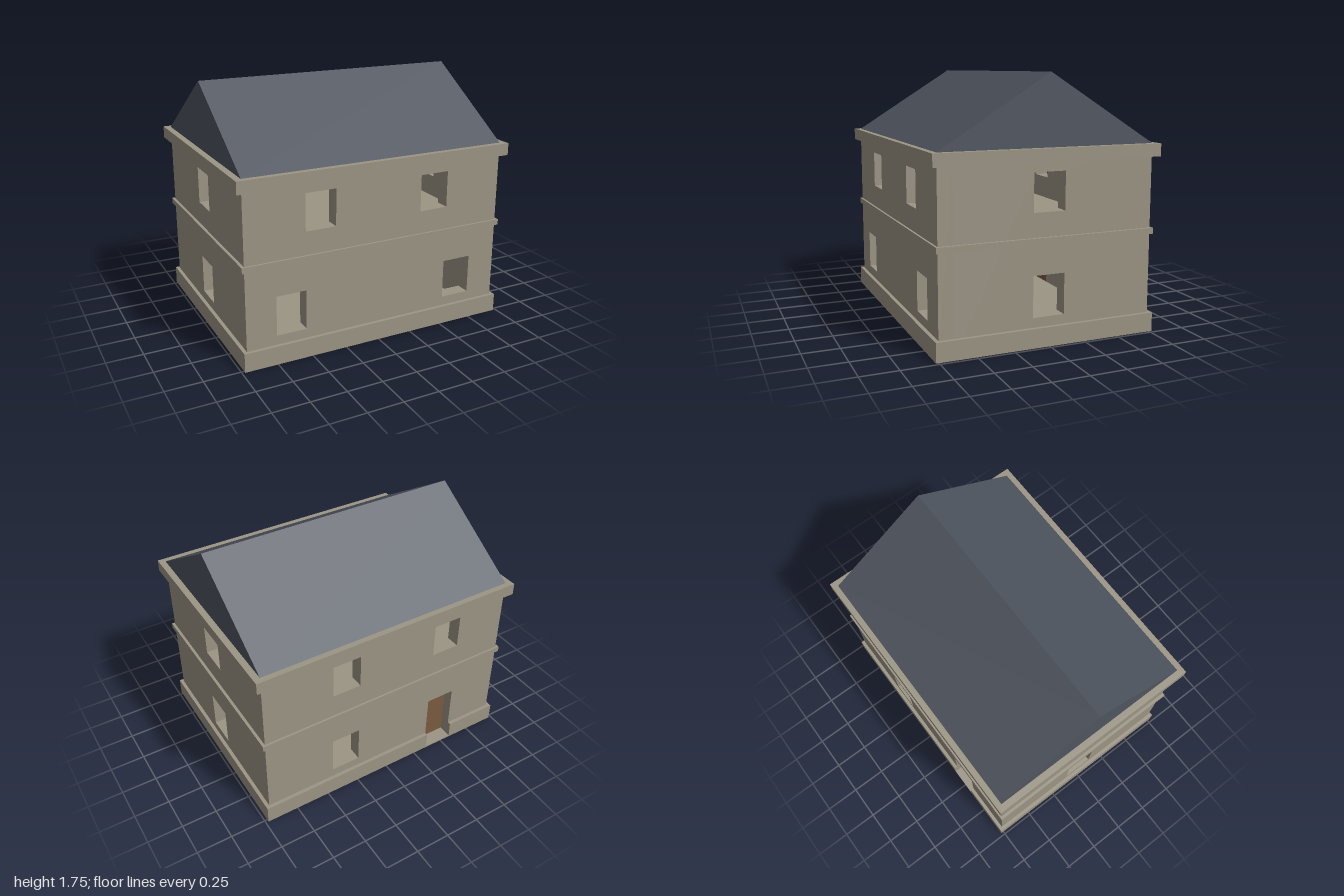
import * as THREE from 'three';

const WX = 0.955, WZ = 0.745, T = 0.1; // outer half sizes of the walls, wall thickness
const BASE = 0.01, EAVES = 1.28;
const DOOR = { x0: -0.58, x1: -0.365, top: 0.45 };

const paint = (color) => new THREE.MeshStandardMaterial({ color, flatShading: true });
const stone = paint(0x9c9585), slate = paint(0x4f555f), wood = paint(0x7a5a40);

function polygon(points) {
  return new THREE.Shape(points.map(([x, y]) => new THREE.Vector2(x, y)));
}

function rect(x0, y0, x1, y1) {
  return [[x0, y0], [x1, y0], [x1, y1], [x0, y1]];
}

function extrude(shape, depth) {
  return new THREE.ExtrudeGeometry(shape, { depth, bevelEnabled: false });
}

function box(name, material, x0, x1, y0, y1, z0, z1) {
  const mesh = new THREE.Mesh(new THREE.BoxGeometry(x1 - x0, y1 - y0, z1 - z0), material);
  mesh.position.set((x0 + x1) / 2, (y0 + y1) / 2, (z0 + z1) / 2);
  mesh.name = name;
  return mesh;
}

// Upright wall slab with window openings, given as [x0, y0, x1, y1]
function wall(name, outline, openings) {
  const shape = polygon(outline);
  for (const o of openings) shape.holes.push(polygon(rect(...o).reverse()));
  const mesh = new THREE.Mesh(extrude(shape, T), stone);
  mesh.name = name;
  return mesh;
}

// Horizontal moulding running round the outside of the walls
function band(name, hx, hz, y0, y1, doorGap = false) {
  let shape;
  if (doorGap) {
    const { x0, x1 } = DOOR;
    shape = polygon([
      [x0, hz], [-hx, hz], [-hx, -hz], [hx, -hz], [hx, hz], [x1, hz],
      [x1, WZ], [WX, WZ], [WX, -WZ], [-WX, -WZ], [-WX, WZ], [x0, WZ],
    ]);
  } else {
    shape = polygon(rect(-hx, -hz, hx, hz));
    shape.holes.push(polygon(rect(-WX, -WZ, WX, WZ).reverse()));
  }
  const geometry = extrude(shape, y1 - y0).rotateX(-Math.PI / 2).translate(0, y0, 0);
  const mesh = new THREE.Mesh(geometry, stone);
  mesh.name = name;
  return mesh;
}

export function createModel() {
  const house = new THREE.Group();
  house.name = 'house';

  // Front wall: wide-set windows below, closer ones above
  const front = wall('frontWall', rect(-WX, BASE, WX, EAVES), [
    [-0.745, 0.195, -0.535, 0.47], [0.53, 0.195, 0.745, 0.47],
    [-0.535, 0.875, -0.32, 1.13], [0.32, 0.875, 0.53, 1.13],
  ]);
  front.position.z = WZ - T;

  // Back wall: doorway cut up from the base, three windows
  const back = wall('backWall', [
    [-WX, BASE], [DOOR.x0, BASE], [DOOR.x0, DOOR.top], [DOOR.x1, DOOR.top],
    [DOOR.x1, BASE], [WX, BASE], [WX, EAVES], [-WX, EAVES],
  ], [
    [0.235, 0.195, 0.445, 0.47],
    [-0.575, 0.885, -0.365, 1.13], [0.235, 0.885, 0.445, 1.13],
  ]);
  back.position.z = -WZ;
  house.add(front, back);

  // Side walls fit between front and back, one window per storey
  for (const side of [1, -1]) {
    const w = wall(side > 0 ? 'leftWall' : 'rightWall', rect(T - WZ, BASE, WZ - T, EAVES), [
      [-0.11, 0.195, 0.11, 0.47], [-0.11, 0.875, 0.11, 1.13],
    ]);
    w.rotation.y = side * Math.PI / 2;
    w.position.x = side * (WX - T);
    house.add(w);
  }

  // Floors, door and mouldings
  const ix = WX - T, iz = WZ - T;
  house.add(
    box('groundFloor', stone, -0.98, 0.98, 0, BASE, -0.77, 0.77),
    box('upperFloor', stone, -ix, ix, 0.675, 0.715, -iz, iz),
    box('door', wood, DOOR.x0, DOOR.x1, BASE, DOOR.top, -iz - 0.025, -iz),
    band('plinth', 0.98, 0.77, BASE, 0.13, true),
    band('stringCourse', 0.975, 0.76, 0.675, 0.715),
    band('cornice', 1, 0.785, 1.195, EAVES),
  );

  // Gabled roof with its ridge along x
  const gable = polygon([[-WZ, EAVES], [WZ, EAVES], [0, 1.745]]);
  const roof = new THREE.Mesh(
    extrude(gable, 2 * WX).translate(0, 0, -WX).rotateY(Math.PI / 2), slate);
  roof.name = 'roof';
  house.add(roof);

  return house;
}
